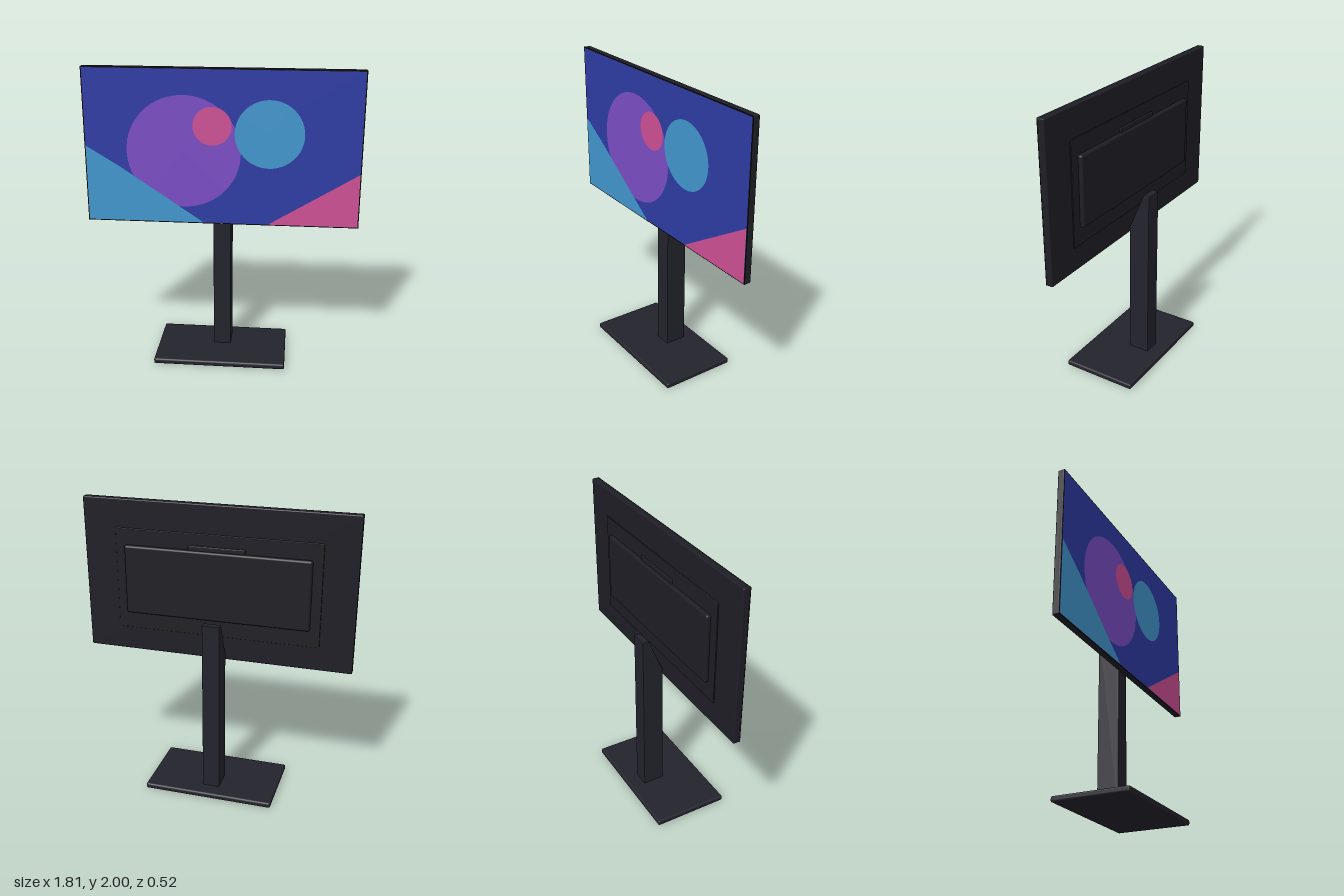
import * as THREE from 'three';
import { RoundedBoxGeometry } from 'three/addons/geometries/RoundedBoxGeometry.js';

const mat = (name, color) => {
  const m = new THREE.MeshStandardMaterial({ color });
  m.name = name;
  return m;
};

export function createModel() {
  const model = new THREE.Group();
  model.name = 'monitor';

  const shell = mat('charcoal shell', 0x23232c);
  const panelGrey = mat('dark panel', 0x1e1e25);
  const black = mat('black bezel', 0x0b0b0f);
  const blue = mat('screen blue', 0x2e3ba4);
  const purple = mat('screen purple', 0x7b4dc5);
  const pink = mat('screen pink', 0xce5096);
  const cyan = mat('screen cyan', 0x4297ce);
  const white = mat('indicator light', 0xd8e0e8);

  const add = (name, geometry, material, x = 0, y = 0, z = 0) => {
    const mesh = new THREE.Mesh(geometry, material);
    mesh.name = name;
    mesh.position.set(x, y, z);
    model.add(mesh);
    return mesh;
  };

  // Rounded block given by its extents on each axis
  const block = (name, material, [x0, x1], [y0, y1], [z0, z1], radius) =>
    add(name, new RoundedBoxGeometry(x1 - x0, y1 - y0, z1 - z0, 2, radius), material,
      (x0 + x1) / 2, (y0 + y1) / 2, (z0 + z1) / 2);

  // Foot
  block('base', shell, [-0.447, 0.447], [0, 0.038], [-0.26, 0.26], 0.012);

  // Column: side profile with a sloped top, extruded across the width
  const bevel = 0.006, halfWidth = 0.06;
  const side = new THREE.Shape([
    [0.014, 0.043], [0.152, 0.043], [0.152, 1.239], [0.118, 1.239], [0.014, 0.99],
  ].map(([s, y]) => new THREE.Vector2(s, y)));
  const column = new THREE.ExtrudeGeometry(side, {
    depth: 2 * (halfWidth - bevel), bevelEnabled: true,
    bevelSize: bevel, bevelThickness: bevel, bevelSegments: 2,
  });
  column.translate(0, 0, bevel - halfWidth);
  column.rotateY(Math.PI / 2);
  add('standColumn', column, shell);

  // Display body and the raised steps on its back
  block('displayBody', panelGrey, [-0.905, 0.905], [0.96, 2], [-0.014, 0.033], 0.008);
  block('backPlate', panelGrey, [-0.685, 0.685], [1.12, 1.81], [-0.02, 0], 0.004);
  block('backHousing', panelGrey, [-0.62, 0.62], [1.235, 1.7], [-0.047, 0], 0.014);
  block('backLatch', panelGrey, [-0.19, 0.19], [1.66, 1.73], [-0.029, 0], 0.006);

  // Bezel and lit screen
  add('bezel', new THREE.BoxGeometry(1.808, 1.038, 0.004), black, 0, 1.48, 0.032);
  add('screen', new THREE.PlaneGeometry(1.794, 1.024), blue, 0, 1.48, 0.0345);

  // Picture layers, each just ahead of the one before
  const disc = (name, material, x, y, r, z) =>
    add(name, new THREE.CircleGeometry(r, 64), material, x, y, z);
  const patch = (name, material, points, z) =>
    add(name, new THREE.ShapeGeometry(
      new THREE.Shape(points.map(([x, y]) => new THREE.Vector2(x, y)))), material, 0, 0, z);

  disc('purpleDisc', purple, -0.25, 1.452, 0.375, 0.0355);
  disc('cyanDisc', cyan, 0.309, 1.58, 0.225, 0.0365);
  disc('pinkDisc', pink, -0.062, 1.627, 0.127, 0.0365);
  patch('leftHill', cyan,
    [[-0.897, 0.968], [-0.12, 0.968], [-0.68, 1.347], [-0.897, 1.48]], 0.0365);
  patch('rightHill', pink, [[0.309, 0.968], [0.897, 0.968], [0.897, 1.33]], 0.0365);

  // Small light in the lower bezel
  add('indicatorLight', new THREE.BoxGeometry(0.012, 0.004, 0.002), white, 0, 0.964, 0.034);

  return model;
}
